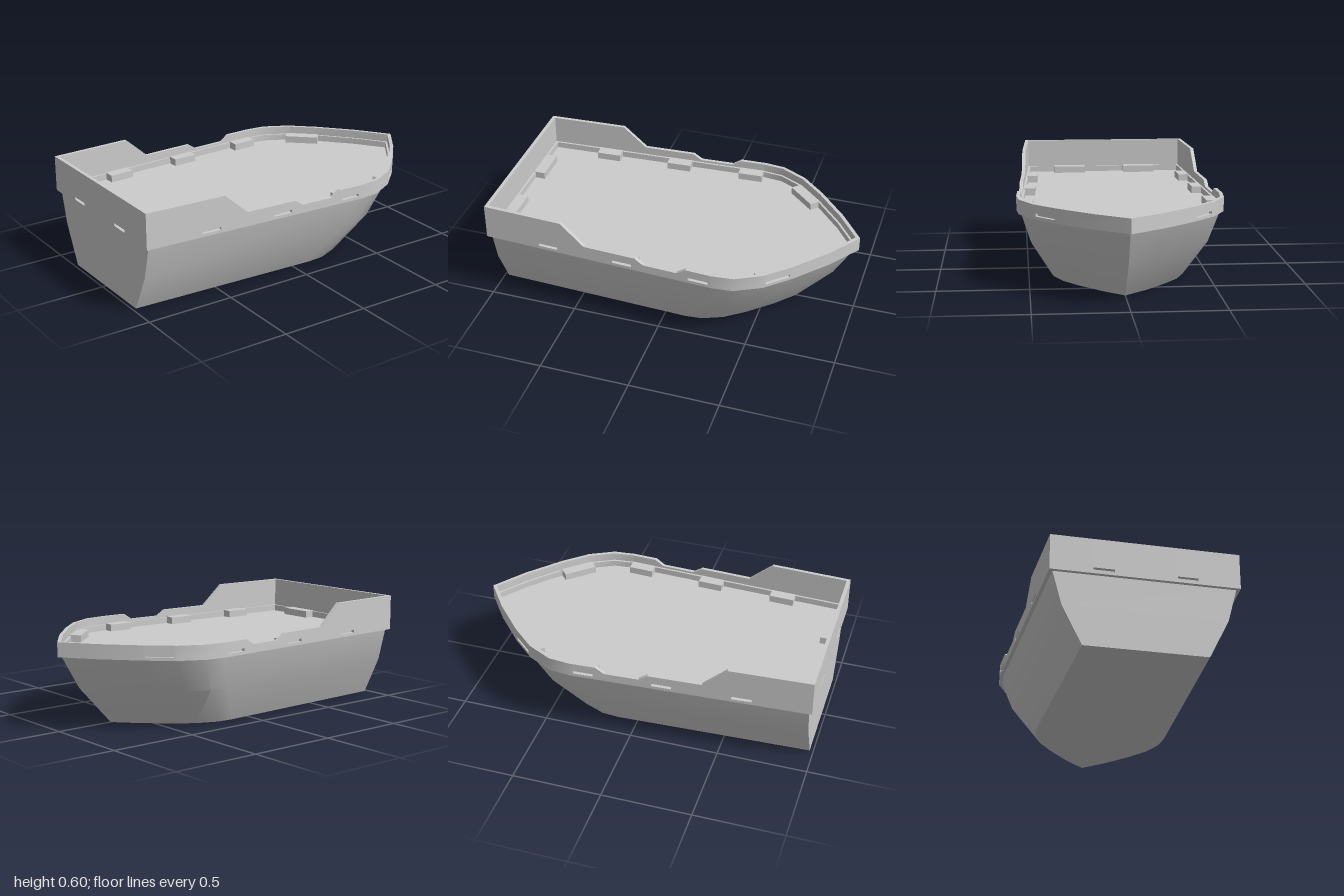
import * as THREE from 'three';
import { toCreasedNormals } from 'three/addons/utils/BufferGeometryUtils.js';

const DECK_Y = 0.4;
// half plan of the bulwark, stern to bow [x, z]
const PLAN = [[-1, 0.5], [0.32, 0.565], [0.44, 0.553], [0.58, 0.48], [0.71, 0.36], [0.87, 0.18], [1, 0]];
// rail height along x, with raised stern and side notch
const RAIL = [[-1, 0.6], [-0.545, 0.6], [-0.41, 0.48], [-0.115, 0.48], [-0.065, 0.447], [0.125, 0.447], [0.175, 0.48], [1, 0.48]];
// drain slots: x ranges on the sides, z range on the stern
const SIDE_SLOTS = [[-0.68, -0.57], [-0.245, -0.135], [0.19, 0.3], [0.595, 0.7]];
const STERN_SLOT = [0.165, 0.275];

function lookup(table, x) {
  for (let i = 1; i < table.length; i++) {
    const [x0, v0] = table[i - 1], [x1, v1] = table[i];
    if (x <= x1) return v0 + ((v1 - v0) * (x - x0)) / (x1 - x0);
  }
  return table[table.length - 1][1];
}

// full closed outline from one half that ends at the bow tip
const mirrorHalf = (half) => [...half, ...half.slice(0, -1).reverse().map(([x, z]) => [x, -z])];

// move a closed outline inwards with mitred corners
function inset(points, d) {
  const n = points.length;
  const normal = (a, b) => {
    const l = Math.hypot(b[0] - a[0], b[1] - a[1]);
    return [-(b[1] - a[1]) / l, (b[0] - a[0]) / l];
  };
  return points.map((p, i) => {
    const u = normal(points[(i + n - 1) % n], p), v = normal(p, points[(i + 1) % n]);
    const k = d / (1 + u[0] * v[0] + u[1] * v[1]);
    return [p[0] - k * (u[0] + v[0]), p[1] - k * (u[1] + v[1])];
  });
}

function quadGeometry(quads) {
  const pos = [];
  for (const [a, b, c, d] of quads) pos.push(...a, ...b, ...c, ...a, ...c, ...d);
  const g = new THREE.BufferGeometry();
  g.setAttribute('position', new THREE.Float32BufferAttribute(pos, 3));
  return toCreasedNormals(g, 0.45);
}

// flat plate filling an outline, facing up or down
function plate(points, y, up) {
  const g = new THREE.ShapeGeometry(new THREE.Shape(points.map(([x, z]) => new THREE.Vector2(x, z))));
  return g.rotateX(up ? -Math.PI / 2 : Math.PI / 2).translate(0, y, 0);
}

export function createModel() {
  const group = new THREE.Group();
  const material = new THREE.MeshStandardMaterial({ color: 0xcccccc });
  const add = (name, geometry) => {
    const mesh = new THREE.Mesh(geometry, material);
    mesh.name = name;
    group.add(mesh);
    return mesh;
  };
  const plan = mirrorHalf(PLAN);

  // hull: plan shrunk towards the stern and keel at each level
  const hullTop = inset(plan, 0.02);
  const levels = [[0, 0.842, 0.68], [0.215, 0.944, 0.9], [DECK_Y, 1, 1]].map(([y, sx, sz]) =>
    hullTop.map(([x, z]) => [-0.98 + (x + 0.98) * sx, y, z * sz]));
  const hullQuads = [];
  for (let r = 0; r < 2; r++) {
    hullTop.forEach((_, i) => {
      const j = (i + 1) % hullTop.length;
      hullQuads.push([levels[r][i], levels[r][j], levels[r + 1][j], levels[r + 1][i]]);
    });
  }
  add('hull', quadGeometry(hullQuads));
  add('hullBottom', plate(levels[0].map(([x, , z]) => [x, z]), 0, false));
  add('deck', plate(inset(plan, 0.025), DECK_Y, true));

  // bulwark: wall section swept round the outline, with a ledge inside and recessed slots
  const xs = [...PLAN.map((p) => p[0]), ...RAIL.map((p) => p[0]), ...SIDE_SLOTS.flat()];
  const stations = [...new Set(xs)].sort((a, b) => a - b);
  const outline = mirrorHalf([...STERN_SLOT.map((z) => [-1, z]), ...stations.map((x) => [x, lookup(PLAN, x)])]);
  const rings = new Map([0, 0.02, 0.032, 0.05].map((d) => [d, inset(outline, d)]));
  const within = (v, [lo, hi]) => v > lo && v < hi;
  const slotLow = 0.417, slotHigh = 0.433, slotDepth = 0.02;
  const wall = [];
  outline.forEach((p, i) => {
    const j = (i + 1) % outline.length, q = outline[j];
    const mx = (p[0] + q[0]) / 2, mz = Math.abs(p[1] + q[1]) / 2;
    const hasSlot = mx < -0.999 ? within(mz, STERN_SLOT) : SIDE_SLOTS.some((s) => within(mx, s));
    const point = (k, [d, y]) => {
      const [x, z] = rings.get(d)[k];
      return [x, y ?? lookup(RAIL, outline[k][0]), z];
    };
    const slot = [[0, slotLow], [slotDepth, slotLow], [slotDepth, slotHigh], [0, slotHigh]];
    const section = [[0.05, DECK_Y], [0, DECK_Y], ...(hasSlot ? slot : []),
      [0, null], [0.02, null], [0.02, 0.435], [0.032, 0.435], [0.032, DECK_Y]];
    for (let s = 1; s < section.length; s++) {
      const a = section[s - 1], b = section[s];
      wall.push([point(i, a), point(j, a), point(j, b), point(i, b)]);
    }
    if (hasSlot) {
      wall.push(slot.map((c) => point(i, c)));
      wall.push([...slot].reverse().map((c) => point(j, c)));
    }
  });
  add('bulwark', quadGeometry(wall));

  // blocks on the deck behind each slot
  const addBlock = (name, x, z, angle, width) => {
    const near = 0.025, far = 0.088;
    const g = new THREE.BoxGeometry(width, 0.042, far - near).translate(0, 0.019 + DECK_Y, -(near + far) / 2);
    const block = add(name, g);
    block.position.set(x, 0, z);
    block.rotation.y = angle;
  };
  for (const side of [1, -1]) {
    for (const [a, b] of SIDE_SLOTS) {
      const za = lookup(PLAN, a), zb = lookup(PLAN, b);
      const slope = Math.atan2(za - zb, b - a);
      addBlock('sideBlock', (a + b) / 2, (side * (za + zb)) / 2,
        side > 0 ? slope : Math.PI - slope, a > 0.5 ? 0.195 : 0.14);
    }
    addBlock('sternBlock', -1, side * 0.22, -Math.PI / 2, 0.195);
  }
  return group;
}
